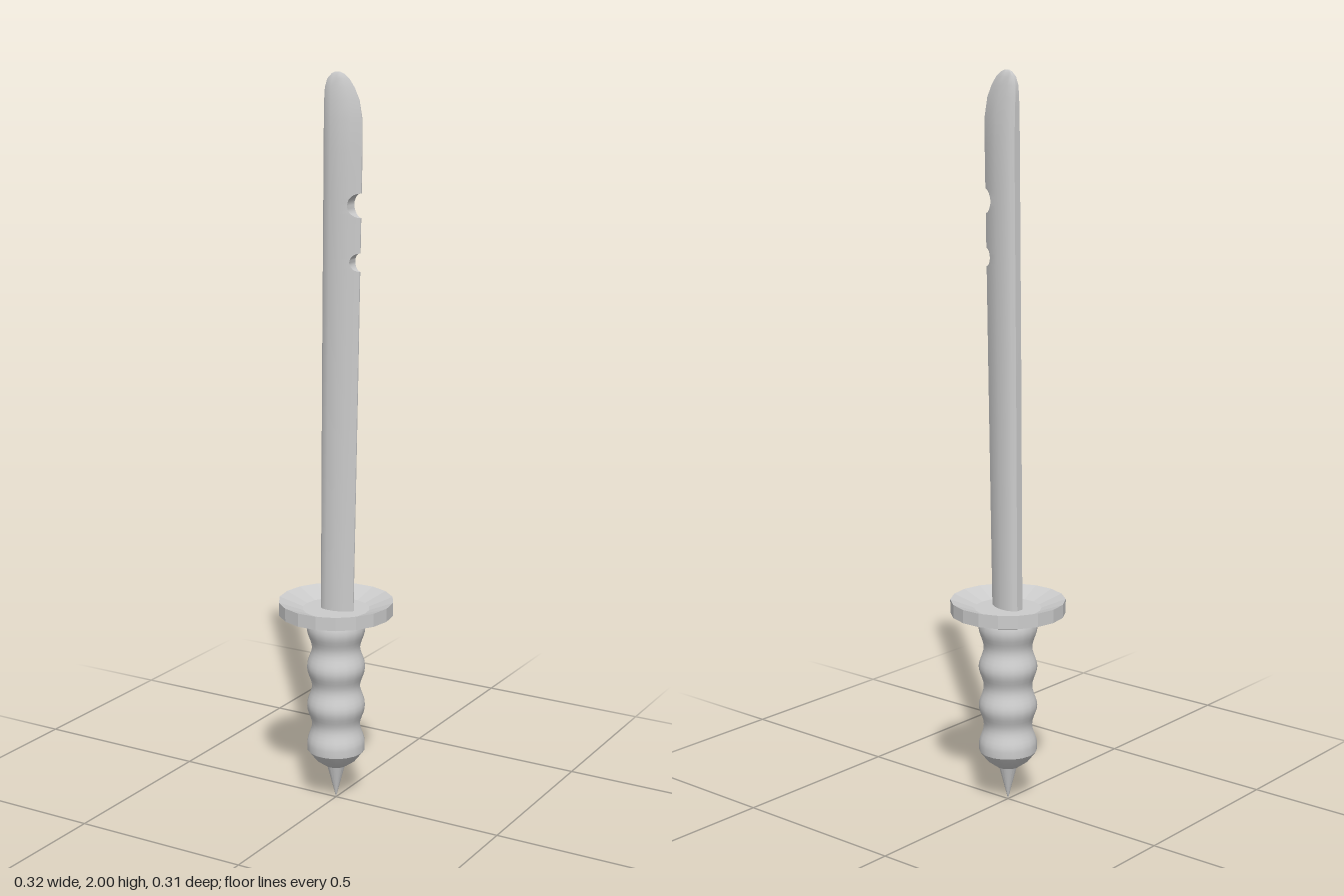
import * as THREE from 'three';
import { toCreasedNormals } from 'three/addons/utils/BufferGeometryUtils.js';

const SIDES = 18;
const smooth = new THREE.MeshStandardMaterial({ color: 0xcccccc });
const faceted = new THREE.MeshStandardMaterial({ color: 0xcccccc, flatShading: true });

function addMesh(group, name, geometry, material = smooth) {
  const mesh = new THREE.Mesh(geometry, material);
  mesh.name = name;
  group.add(mesh);
}

// Turned part from [radius, y] pairs, listed from bottom to top
function turned(profile, crease = 0.6) {
  const points = profile.map(([r, y]) => new THREE.Vector2(r, y));
  return toCreasedNormals(new THREE.LatheGeometry(points, SIDES).rotateY(Math.PI / 2), crease);
}

// Piecewise linear lookup in a list of [key, value, ...] entries
function lookup(table, key, column = 1) {
  let i = 1;
  while (i < table.length - 1 && table[i][0] < key) i++;
  const [a, b] = [table[i - 1], table[i]];
  const t = THREE.MathUtils.clamp((key - a[0]) / (b[0] - a[0]), 0, 1);
  return THREE.MathUtils.lerp(a[column], b[column], t);
}

// Blade outline: y, back x, edge x, thickness factor
const OUTLINE = [
  [0.54, -0.042, 0.054, 1], [1.2, -0.037, 0.067, 1], [1.8, -0.031, 0.078, 1],
  [1.88, -0.031, 0.078, 0.88], [1.93, -0.031, 0.069, 0.7], [1.96, -0.03, 0.055, 0.53],
  [1.982, -0.024, 0.04, 0.37], [1.995, -0.012, 0.024, 0.2], [2, -0.002, 0.012, 0.08],
];
// Half thickness from the blunt back (0) to the sharp edge (1)
const SECTION = [[0, 0.011], [0.08, 0.02], [0.25, 0.025], [0.5, 0.025], [0.75, 0.018], [1, 0.002]];
// Round notches in the edge: x, y, radius
const NOTCHES = [[0.073, 1.512, 0.024], [0.076, 1.66, 0.032]];

function bladeGeometry() {
  const rows = OUTLINE.map(([y]) => ({ y, cut: Infinity }));
  for (const [cx, cy, r] of NOTCHES) {
    for (let k = 0; k <= 12; k++) {
      const a = (k / 12) * Math.PI;
      rows.push({ y: cy - r * Math.cos(a), cut: cx - r * Math.sin(a) });
    }
  }
  rows.sort((p, q) => p.y - q.y);

  const positions = [];
  const index = [];
  const ring = SECTION.length * 2;
  for (const { y, cut } of rows) {
    const back = lookup(OUTLINE, y, 1);
    const width = lookup(OUTLINE, y, 2) - back;
    const thick = lookup(OUTLINE, y, 3);
    const limit = Math.min(1, (cut - back) / width);
    const side = SECTION.map(([f]) => {
      const g = Math.min(f, limit);
      return [back + width * g, lookup(SECTION, g) * thick];
    });
    for (const [x, z] of side) positions.push(x, y, z);
    for (const [x, z] of side.reverse()) positions.push(x, y, -z);
  }
  for (let j = 0; j < rows.length - 1; j++) {
    for (let i = 0; i < ring; i++) {
      const a = j * ring + i;
      const b = j * ring + (i + 1) % ring;
      index.push(a, b, b + ring, a, b + ring, a + ring);
    }
  }
  // End caps
  const top = (rows.length - 1) * ring;
  for (let i = 1; i < ring - 1; i++) {
    index.push(top, top + i, top + i + 1, 0, i + 1, i);
  }
  const geometry = new THREE.BufferGeometry();
  geometry.setAttribute('position', new THREE.Float32BufferAttribute(positions, 3));
  geometry.setIndex(index);
  return toCreasedNormals(geometry, 0.6);
}

export function createModel() {
  const group = new THREE.Group();
  group.name = 'sword';

  addMesh(group, 'blade', bladeGeometry());

  // Round guard with a dished top
  addMesh(group, 'guard', turned([
    [0, 0.52], [0.085, 0.52], [0.158, 0.543], [0.158, 0.58], [0.092, 0.556], [0, 0.556],
  ]), faceted);

  // Grip with rounded finger swells
  const grip = [[0.08, 0.146]];
  for (let i = 0; i <= 32; i++) {
    const y = 0.165 + (i / 32) * 0.36;
    grip.push([0.074 + 0.007 * Math.cos(((y - 0.165) / 0.112) * Math.PI * 2), y]);
  }
  addMesh(group, 'grip', turned(grip));

  // Tapered pommel and its spike
  addMesh(group, 'pommel', turned([[0, 0.1], [0.033, 0.1], [0.058, 0.118], [0.08, 0.146], [0, 0.146]], 0.4));
  addMesh(group, 'spike', turned([[0, 0], [0.027, 0.104], [0, 0.104]]));

  return group;
}
